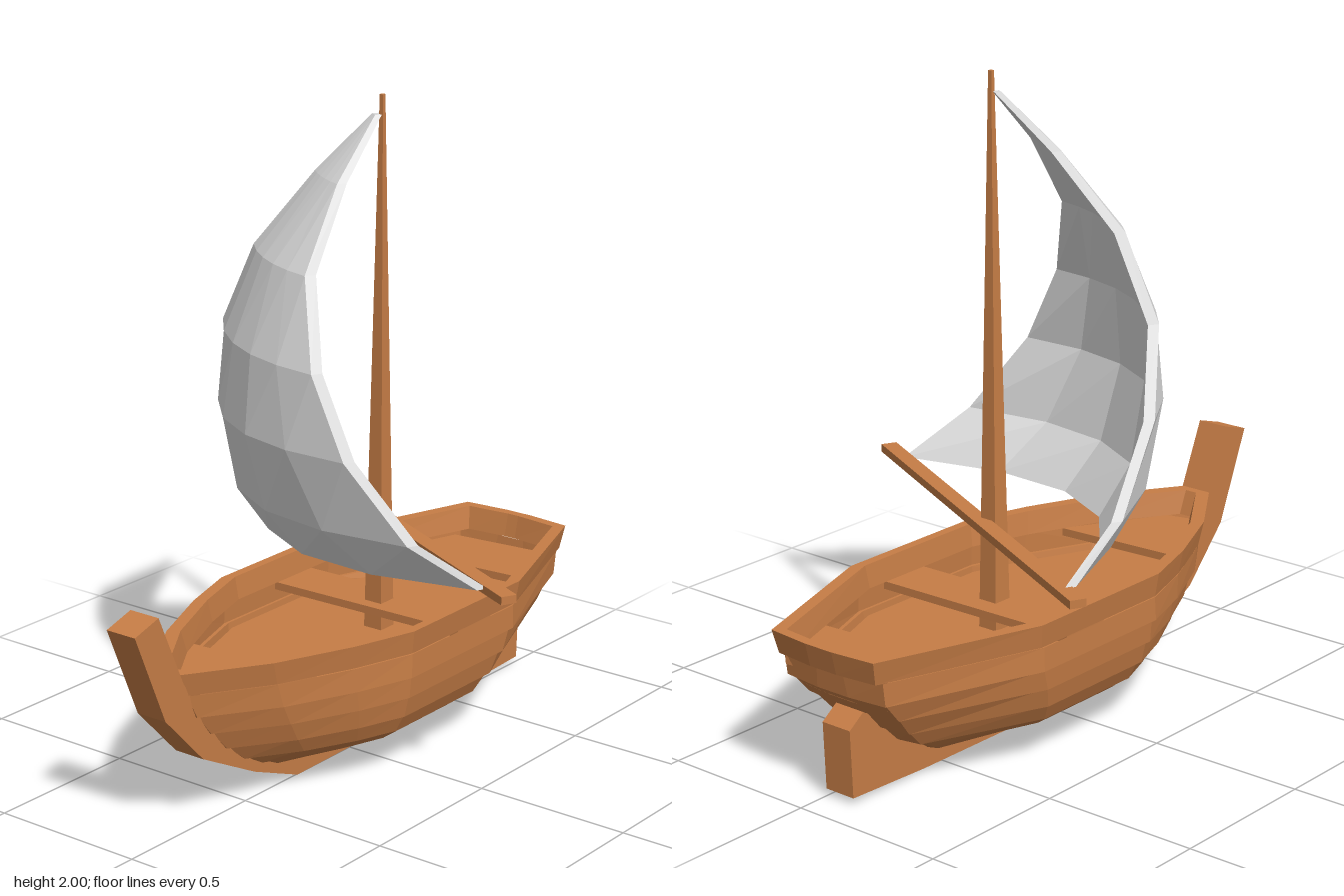
import * as THREE from 'three';

const CX = -0.05; // hull centreline

// Skin a list of rings (each counterclockwise from above, second half running back along the first)
function loft(rings, caps = true) {
  const pos = [], idx = [], n = rings[0].length;
  rings.forEach(r => r.forEach(p => pos.push(...p)));
  const quad = (a, b, c, d) => idx.push(a, b, c, a, c, d);
  for (let k = 0; k < rings.length - 1; k++)
    for (let i = 0; i < n; i++) {
      const j = (i + 1) % n;
      quad(k * n + i, k * n + j, (k + 1) * n + j, (k + 1) * n + i);
    }
  if (caps) {
    const t = (rings.length - 1) * n;
    for (let i = 0; i < n / 2 - 1; i++) {
      quad(t + i, t + i + 1, t + n - 2 - i, t + n - 1 - i);
      quad(n - 1 - i, n - 2 - i, i + 1, i);
    }
  }
  const g = new THREE.BufferGeometry();
  g.setAttribute('position', new THREE.Float32BufferAttribute(pos, 3));
  g.setIndex(idx);
  const flat = g.toNonIndexed();
  flat.computeVertexNormals();
  return flat;
}

// Half outline of the hull, bow to stern, as [half width, z]
const halfOutline = ([, hw, sternW, sternZ, bowZ]) => [
  [0.05, bowZ], [hw * 0.55, bowZ * 0.7], [hw * 0.83, bowZ * 0.39],
  [hw, bowZ * 0.13], [hw, sternZ * 0.46], [sternW, sternZ], [0.05, sternZ - 0.014],
];

// Full hull ring at a level, optionally grown sideways and endways
function hullRing(level, grow = 0, y = level[0]) {
  const half = halfOutline(level).map(([w, z]) => [w + grow, z + Math.sign(z) * grow]);
  return [
    ...half.map(([w, z]) => [CX + w, y, z]),
    ...half.slice().reverse().map(([w, z]) => [CX - w, y, z]),
  ];
}

// Half width of a level at a given z
function widthAt(level, z) {
  const h = halfOutline(level);
  for (let i = 0; i < h.length - 1; i++) {
    const [w0, z0] = h[i], [w1, z1] = h[i + 1];
    if (z <= z0 && z >= z1) return w0 + (w1 - w0) * (z0 - z) / (z0 - z1);
  }
  return 0.04;
}

// y, half width, stern half width, stern z, bow z
const LEVELS = [
  [0.07, 0.17, 0.08, -0.56, 0.36],
  [0.10, 0.22, 0.10, -0.60, 0.42],
  [0.14, 0.275, 0.12, -0.68, 0.50],
  [0.20, 0.315, 0.14, -0.75, 0.58],
  [0.27, 0.34, 0.165, -0.82, 0.65],
  [0.34, 0.355, 0.18, -0.89, 0.71],
  [0.414, 0.362, 0.19, -0.91, 0.75],
];

export function createModel() {
  const model = new THREE.Group();
  const wood = new THREE.MeshStandardMaterial({ color: 0xc67d46, flatShading: true, side: THREE.DoubleSide });
  wood.name = 'wood';
  const canvas = new THREE.MeshStandardMaterial({ color: 0xdcdcdc, flatShading: true, side: THREE.DoubleSide });
  canvas.name = 'sailcloth';
  const add = (name, geo, mat = wood) => {
    const m = new THREE.Mesh(geo, mat);
    m.name = name;
    model.add(m);
    return m;
  };

  // Lapped hull planking, each strake overhanging the one below
  const strakes = [];
  for (let i = 0; i < LEVELS.length - 1; i++)
    strakes.push(hullRing(LEVELS[i], i ? 0.009 : 0), hullRing(LEVELS[i + 1]));
  add('hullPlanking', loft(strakes, false));
  const bottom = hullRing(LEVELS[0]);
  add('hullBottom', loft([bottom, hullRing(LEVELS[0], 0, 0.08)]));

  // Rim rail
  const rimLow = [0.417, 0.362, 0.185, -0.935, 0.755], rimTop = [0.49, 0.372, 0.195, -0.953, 0.785];
  const rail = [hullRing(rimLow), hullRing(rimTop), hullRing(rimTop, -0.03), hullRing(rimLow, -0.03)];
  add('rimRail', loft([...rail, rail[0]], false));

  // Floor and cross planks
  const floorLevel = [0.325, 0.35, 0.175, -0.87, 0.69];
  add('floor', loft([hullRing(floorLevel, -0.005, 0.31), hullRing(floorLevel, -0.005)]));
  const plank = (name, z0, z1, y, skew = 0) => {
    const ring = h => [[1, z1], [1, z0], [-1, z0], [-1, z1]].map(([s, z]) =>
      [CX + s * (widthAt(LEVELS[6], z) - 0.012), h, z - s * skew]);
    add(name, loft([ring(y - 0.025), ring(y)]));
  };
  plank('bowDeck', 0.41, 0.72, 0.41, 0.015);
  plank('mastThwart', -0.31, -0.14, 0.412, 0.008);
  plank('sternDeck', -0.89, -0.65, 0.4, 0.02);

  // Stem, keel and stern post in one side profile (z, y)
  const keel = new THREE.Shape([
    [0.87, 0.69], [0.77, 0.46], [0.68, 0.32], [0.55, 0.20], [0.40, 0.11], [0.25, 0.075],
    [-0.58, 0.085], [-0.66, 0.14], [-0.76, 0.23], [-0.83, 0.28], [-0.90, 0.23], [-0.89, 0.02],
    [-0.59, 0.008], [0.26, 0], [0.46, 0.08], [0.69, 0.20], [0.85, 0.37], [0.97, 0.66],
  ].map(p => new THREE.Vector2(...p)));
  const keelGeo = new THREE.ExtrudeGeometry(keel, { depth: 0.105, bevelEnabled: false });
  keelGeo.rotateY(-Math.PI / 2);
  keelGeo.translate(0.004, 0, 0);
  add('keelAndStem', keelGeo);

  // Tapered square mast, leaning slightly
  const mastRing = (x, y, z, r) => [[1, 1], [1, -1], [-1, -1], [-1, 1]].map(([a, b]) => [x + a * r, y, z + b * r]);
  add('mast', loft([mastRing(-0.05, 0.315, -0.213, 0.033), mastRing(-0.035, 2, -0.203, 0.006)]));

  // Yard along the foot of the sail
  const yard = add('yard', new THREE.BoxGeometry(1.45, 0.025, 0.05));
  yard.position.set(0, 0.655, -0.235);
  yard.rotation.set(0, -Math.atan2(0.65, 1.3), 0.008, 'YXZ');

  // Billowing sail: y, left edge x z, right edge x z, belly depth
  const SAIL = [
    [0.66, -0.58, -0.485, 0.53, 0.08, 0.345],
    [0.81, -0.605, -0.31, 0.40, 0.245, 0.265],
    [1.05, -0.565, -0.115, 0.235, 0.33, 0.165],
    [1.29, -0.48, 0.01, 0.115, 0.325, 0.08],
    [1.54, -0.36, 0.005, 0.005, 0.215, 0.035],
    [1.77, -0.20, -0.09, -0.03, 0.02, 0.01],
    [1.94, -0.068, -0.195, -0.045, -0.18, 0],
  ];
  const N = 5;
  const sailRings = SAIL.map(([y, x0, z0, x1, z1, belly]) => {
    const len = Math.hypot(x1 - x0, z1 - z0), nx = -(z1 - z0) / len, nz = (x1 - x0) / len;
    const thick = Math.min(0.035, 0.02 + len * 0.05);
    const curve = offset => Array.from({ length: N + 1 }, (_, i) => {
      const t = i / N, d = belly * 4 * t * (1 - t) - offset;
      return [x0 + (x1 - x0) * t + nx * d, y, z0 + (z1 - z0) * t + nz * d];
    });
    return [...curve(0), ...curve(thick).reverse()];
  });
  add('sail', loft(sailRings), canvas);

  return model;
}
